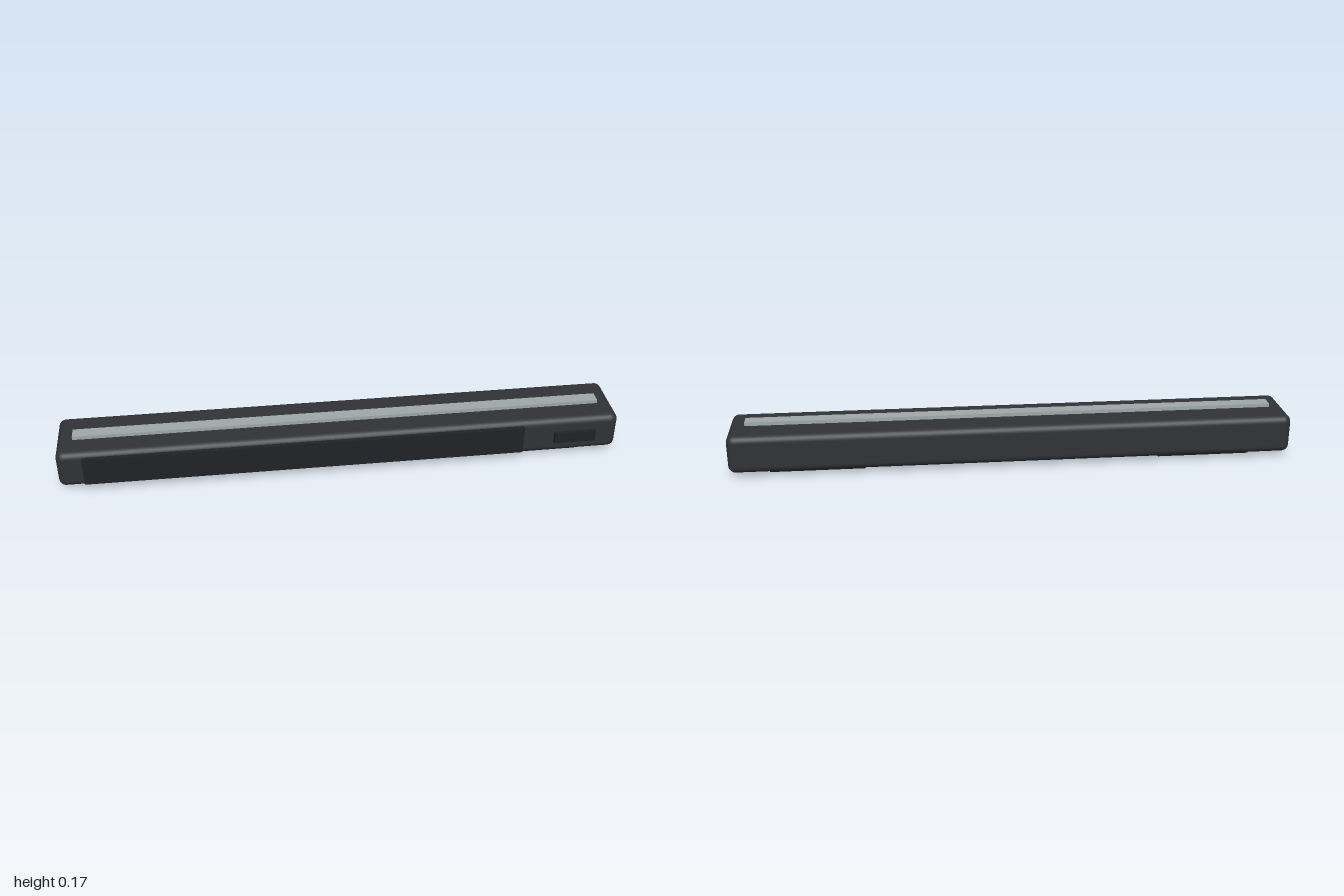
import * as THREE from 'three';
import { RoundedBoxGeometry } from 'three/addons/geometries/RoundedBoxGeometry.js';

export function createModel() {
  const group = new THREE.Group();
  const material = (color) => new THREE.MeshStandardMaterial({ color });
  const shell = material(0x303236);
  const panel = material(0x202226);
  const rubber = material(0x18191b);
  const metal = material(0x9fa8aa);

  // Places a box by its lower and upper corners; a radius rounds its edges.
  function block(name, mat, min, max, radius = 0) {
    const size = max.map((v, i) => v - min[i]);
    const geometry = radius
      ? new RoundedBoxGeometry(...size, 6, radius)
      : new THREE.BoxGeometry(...size);
    const mesh = new THREE.Mesh(geometry, mat);
    mesh.name = name;
    mesh.position.set(...max.map((v, i) => (v + min[i]) / 2));
    group.add(mesh);
  }

  // Long rounded housing
  block('housing', shell, [-1, 0.018, -0.126], [1, 0.157, 0.113], 0.026);

  // Raised strip along the top
  block('topStrip', metal, [-0.944, 0.15, -0.022], [0.944, 0.17, 0.024]);

  // Front cover and small control panel
  block('frontGrille', panel, [-0.91, 0.036, 0.1], [0.65, 0.14, 0.127]);
  block('controlPanel', panel, [0.765, 0.065, 0.1], [0.916, 0.106, 0.127]);

  // Flat feet
  for (const [name, x] of [['rightFoot', -0.695], ['leftFoot', 0.695]]) {
    block(name, rubber, [x - 0.167, 0, -0.074], [x + 0.167, 0.03, 0.074]);
  }

  return group;
}
